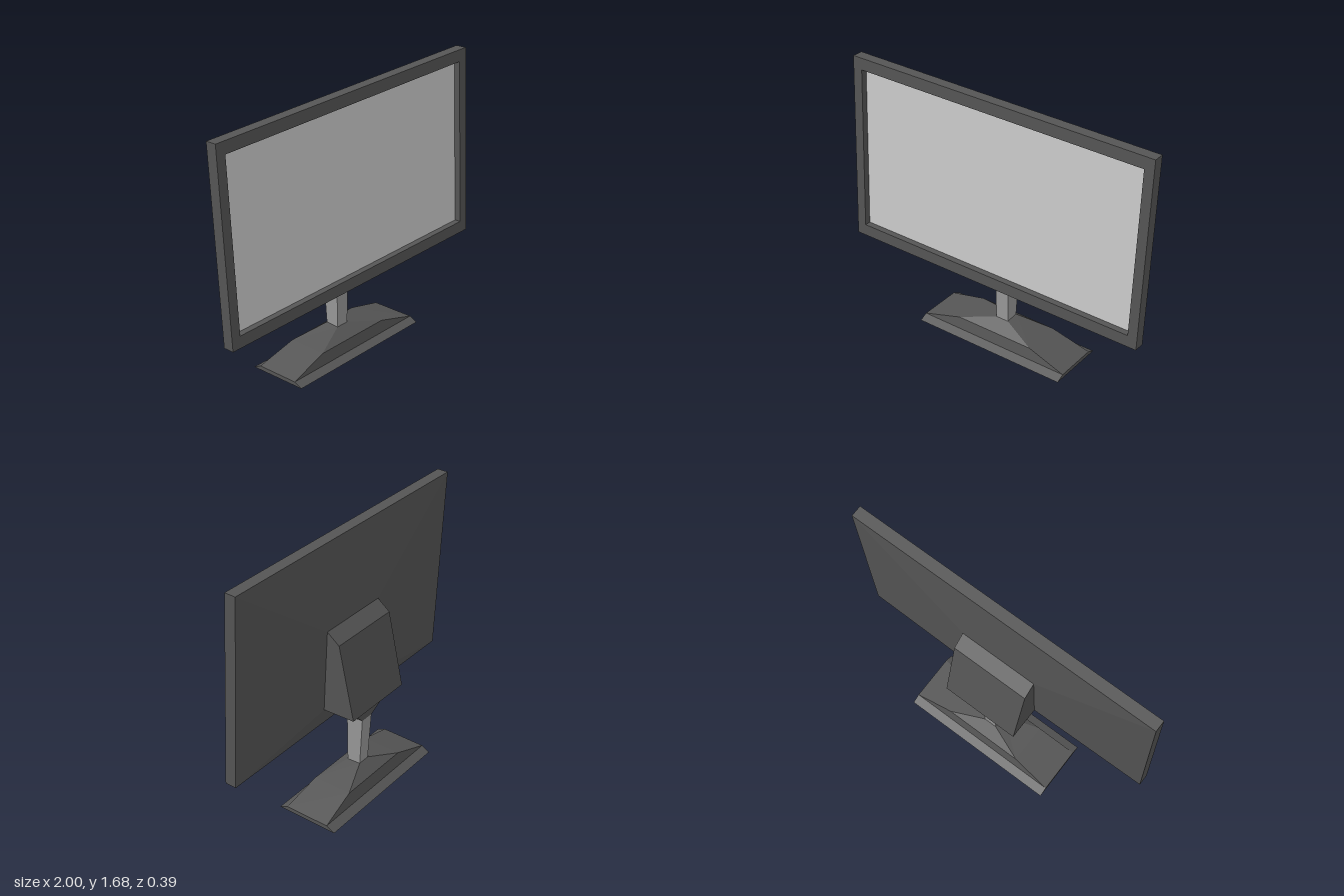
import * as THREE from 'three';

const paint = (color, side = THREE.FrontSide) =>
  new THREE.MeshStandardMaterial({ color, side, flatShading: true });
const DARK = 0x555555, MID = 0x999999, PALE = 0xcccccc;

// Four corners from a half width and two edges given as [y, z]
const ring = (hx, [y1, z1], [y2, z2]) =>
  [[-hx, y1, z1], [hx, y1, z1], [hx, y2, z2], [-hx, y2, z2]];

// Faceted skin through a list of rings, with an optional cap on the last one
function loft(rings, cap = false) {
  const pos = [];
  const quad = (a, b, c, d) => pos.push(...a, ...b, ...c, ...a, ...c, ...d);
  for (let r = 0; r < rings.length - 1; r++) {
    const a = rings[r], b = rings[r + 1];
    for (let i = 0; i < 4; i++) {
      const j = (i + 1) % 4;
      quad(a[i], a[j], b[j], b[i]);
    }
  }
  if (cap) quad(...rings[rings.length - 1]);
  const geo = new THREE.BufferGeometry();
  geo.setAttribute('position', new THREE.Float32BufferAttribute(pos, 3));
  geo.computeVertexNormals();
  return geo;
}

function add(parent, name, geo, material) {
  const mesh = new THREE.Mesh(geo, material);
  mesh.name = name;
  parent.add(mesh);
  return mesh;
}

function rect(target, hx, hy) {
  target.moveTo(-hx, -hy).lineTo(hx, -hy).lineTo(hx, hy).lineTo(-hx, hy).closePath();
  return target;
}

export function createModel() {
  const model = new THREE.Group();
  model.name = 'monitor';

  // Tilted display panel; its local z = 0 is the front of the bezel
  const panel = new THREE.Group();
  panel.name = 'displayPanel';
  panel.position.set(0, 1.083, 0.141);
  panel.rotation.x = -0.057;
  model.add(panel);

  const outline = rect(new THREE.Shape(), 1, 0.597);
  outline.holes.push(rect(new THREE.Path(), 0.94, 0.523));
  const bezel = new THREE.ExtrudeGeometry(outline, { depth: 0.07, bevelEnabled: false });
  bezel.translate(0, 0, -0.07);
  add(panel, 'bezel', bezel, paint(DARK));

  const screen = add(panel, 'screen', new THREE.PlaneGeometry(1.88, 1.046), paint(PALE));
  screen.position.z = -0.04;

  // Shallow bulge of the back shell
  add(panel, 'backShell', loft([
    ring(1, [0.597, -0.07], [-0.597, -0.07]),
    ring(0.25, [0.063, -0.11], [-0.46, -0.11]),
  ], true), paint(DARK));

  // Wedge housing behind the panel
  add(model, 'rearHousing', loft([
    ring(0.25, [1.14, 0.027], [0.617, 0.058]),
    ring(0.25, [1.075, -0.053], [0.612, -0.15]),
  ], true), paint(DARK));

  // Collar tapering from the housing down to the neck
  add(model, 'collar', loft([
    ring(0.047, [0.48, 0.04], [0.48, -0.07]),
    ring(0.15, [0.572, 0.045], [0.568, -0.092]),
    ring(0.25, [0.617, 0.058], [0.612, -0.15]),
  ]), paint(DARK, THREE.DoubleSide));

  add(model, 'neck', loft([
    ring(0.042, [0.167, 0.04], [0.167, -0.048]),
    ring(0.047, [0.48, 0.04], [0.48, -0.07]),
  ], true), paint(MID, THREE.DoubleSide));

  // Hollow foot, open underneath
  add(model, 'base', loft([
    ring(0.51, [0.025, 0.196], [0, -0.196]),
    ring(0.51, [0.047, 0.143], [0.03, -0.143]),
    ring(0.26, [0.117, 0.125], [0.106, -0.125]),
    ring(0.042, [0.167, 0.04], [0.167, -0.048]),
  ]), paint(DARK, THREE.DoubleSide));

  return model;
}
